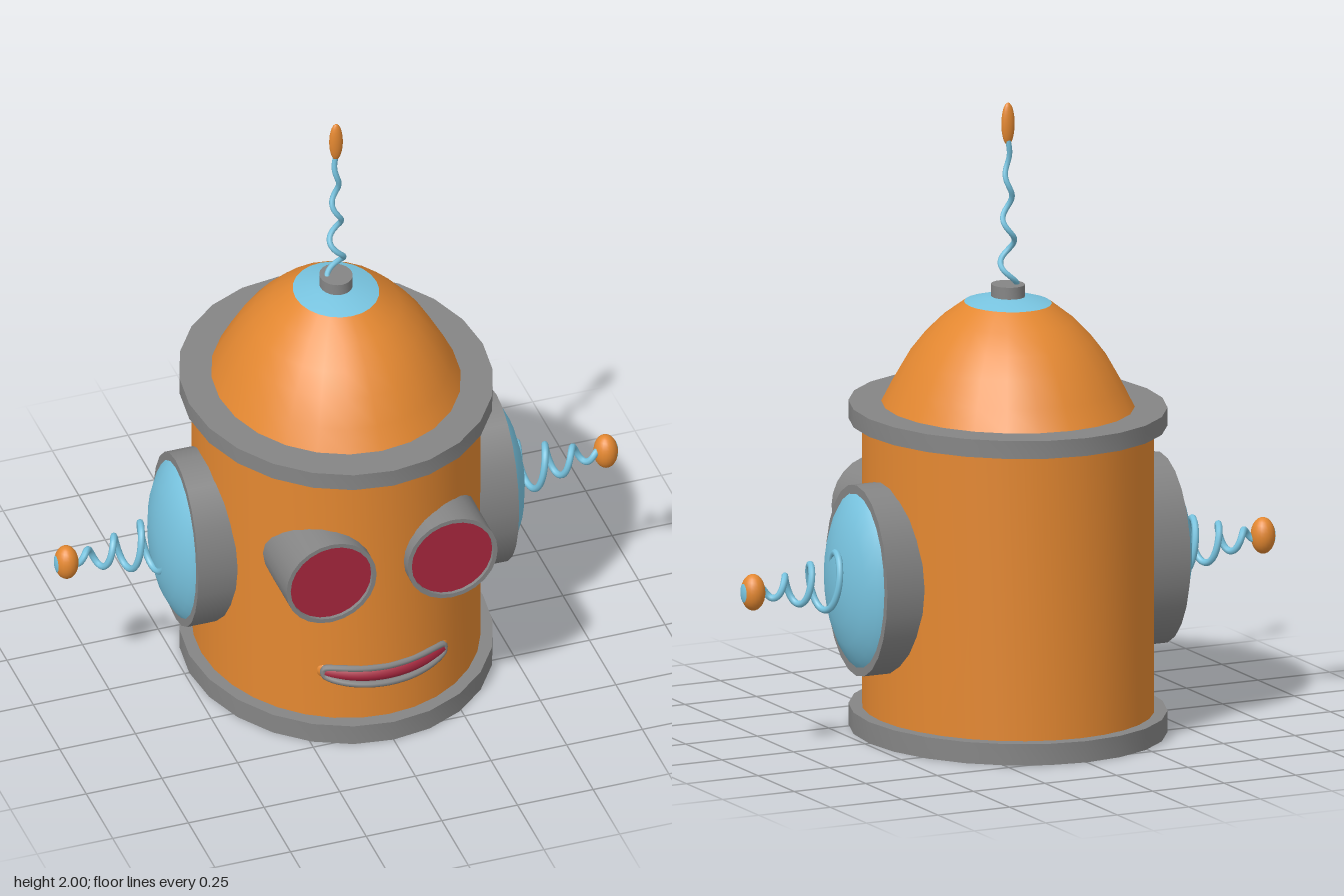
import * as THREE from 'three';
import { toCreasedNormals } from 'three/addons/utils/BufferGeometryUtils.js';

const paint = (name, color, side = THREE.FrontSide) => {
  const m = new THREE.MeshStandardMaterial({ color, side });
  m.name = name;
  return m;
};

export function createModel() {
  const orange = paint('orange', 0xe48831, THREE.DoubleSide);
  const grey = paint('grey', 0x858585, THREE.DoubleSide);
  const blue = paint('light blue', 0x78c4e0, THREE.DoubleSide);
  const red = paint('dark red', 0xa8263e, THREE.DoubleSide);
  const model = new THREE.Group();
  const OVAL = 0.89; // the head is narrower in x than in z

  const add = (parent, name, geometry, material) => {
    const mesh = new THREE.Mesh(geometry, material);
    mesh.name = name;
    parent.add(mesh);
    return mesh;
  };
  const turned = (profile, sides = 24) => toCreasedNormals(
    new THREE.LatheGeometry(profile.map(([r, y]) => new THREE.Vector2(r, y)), sides), 0.7);
  const pathTube = (point, count, radius, closed = false, steps = 120) => {
    const pts = [];
    for (let i = 0; i < count; i++) pts.push(point(i / (closed ? count : count - 1)));
    return new THREE.TubeGeometry(new THREE.CatmullRomCurve3(pts, closed), steps, radius, 8, closed);
  };

  // Oval head shell, rings and dome
  const head = new THREE.Group();
  head.name = 'head';
  head.scale.x = OVAL;
  model.add(head);
  const ring = (outer, inner, y0, y1) =>
    turned([[outer, y0], [outer, y1], [inner, y1], [inner, y0], [outer, y0]]);
  add(head, 'headShell', turned([[0.5, 0.03], [0.5, 1.0]], 32), orange);
  add(head, 'baseRing', ring(0.545, 0.495, 0, 0.068), grey);
  add(head, 'collarRing', ring(0.545, 0.425, 0.98, 1.037), grey);
  add(head, 'dome', turned([[0.437, 1.03], [0.395, 1.105], [0.345, 1.185], [0.29, 1.25],
    [0.225, 1.31], [0.15, 1.362]]), orange);
  add(head, 'domeCap', turned([[0.15, 1.362], [0.08, 1.38], [0, 1.387]]), blue);
  add(head, 'antennaSocket', turned([[0.058, 1.375], [0.058, 1.42], [0, 1.42]]), grey);

  // Antenna on top
  add(model, 'antennaSpring', pathTube(t => {
    const a = t * Math.PI * 6.6 + Math.PI;
    const r = 0.026 * (1 - t) + 0.003;
    return new THREE.Vector3(r * Math.cos(a), 1.41 + 0.47 * t, r * 0.8 * Math.sin(a));
  }, 50, 0.009), blue);
  const tip = add(model, 'antennaTip', new THREE.SphereGeometry(1, 20, 14), orange);
  tip.scale.set(0.022, 0.068, 0.016);
  tip.position.y = 1.932;

  // One drum runs through the head and carries both ears
  const drum = add(model, 'earDrum',
    new THREE.CylinderGeometry(1, 1, 1.06, 24).rotateZ(Math.PI / 2), grey);
  drum.scale.set(1, 0.305, 0.215);
  drum.position.y = 0.525;

  for (const [name, turn] of [['leftEar', 0], ['rightEar', Math.PI]]) {
    const ear = new THREE.Group();
    ear.name = name;
    ear.position.y = 0.525;
    ear.rotation.z = turn;
    model.add(ear);

    const cap = add(ear, 'earCap', turned([[0.28, 0.528], [0.255, 0.547], [0.2, 0.573],
      [0.13, 0.592], [0.06, 0.602], [0, 0.604]]).rotateZ(-Math.PI / 2), blue);
    cap.scale.z = 0.7;

    // Tapering coil
    add(ear, 'earSpring', pathTube(t => {
      const x = 0.585 + 0.295 * t;
      const a = (x - 0.6) / 0.09 * Math.PI * 2;
      const r = 0.092 * (1 - t) + 0.008;
      return new THREE.Vector3(x, r * Math.cos(a), -0.68 * r * Math.sin(a));
    }, 70, 0.011, false, 160), blue);

    const ball = add(ear, 'earBall', new THREE.SphereGeometry(1, 20, 14), orange);
    const dot = add(ear, 'earBallDot',
      new THREE.SphereGeometry(1.02, 16, 3, 0, Math.PI * 2, 0, 0.53).rotateZ(-Math.PI / 2), blue);
    for (const part of [ball, dot]) {
      part.scale.set(0.038, 0.058, 0.042);
      part.position.x = 0.891;
    }
  }

  // Eyes: tubes with a raised rim around a flat lens
  for (const side of [1, -1]) {
    const eye = new THREE.Group();
    eye.name = side > 0 ? 'leftEye' : 'rightEye';
    eye.position.set(side * 0.2, 0.64, 0);
    model.add(eye);
    add(eye, 'eyeTube', turned([[0, 0.27], [0.149, 0.27], [0.149, 0.53], [0.135, 0.53],
      [0.135, 0.515]]).rotateX(Math.PI / 2), grey);
    add(eye, 'eyeLens', new THREE.CircleGeometry(0.136, 24), red).position.z = 0.518;
  }

  // Smile that follows the curve of the shell
  const onShell = (x, dy, dz) => new THREE.Vector3(x, 0.228 + 0.45 * x * x + dy,
    0.5 * Math.sqrt(1 - (x / (0.5 * OVAL)) ** 2) + dz);
  const mouth = new THREE.Group();
  mouth.name = 'mouth';
  model.add(mouth);
  const bar = (half, dz) => t => onShell((2 * t - 1) * half, 0, dz);
  add(mouth, 'mouthBack', pathTube(bar(0.185, -0.03), 15, 0.034, false, 30), orange);
  add(mouth, 'mouthFill', pathTube(bar(0.19, -0.013), 15, 0.027, false, 30), red);
  add(mouth, 'mouthRim', pathTube(t => {
    const a = t * Math.PI * 2;
    const c = Math.cos(a), s = Math.sin(a);
    return onShell(0.2 * Math.sign(c) * Math.abs(c) ** 0.7,
      0.027 * Math.sign(s) * Math.abs(s) ** 0.5, 0.006 - 0.006 * s);
  }, 40, 0.011, true), grey);
  // Rounded ends close the hidden back of the mouth
  for (const side of [1, -1]) {
    const end = add(mouth, 'mouthBackEnd', new THREE.SphereGeometry(0.034, 12, 8), orange);
    end.position.copy(onShell(side * 0.185, 0, -0.03));
  }
  return model;
}
